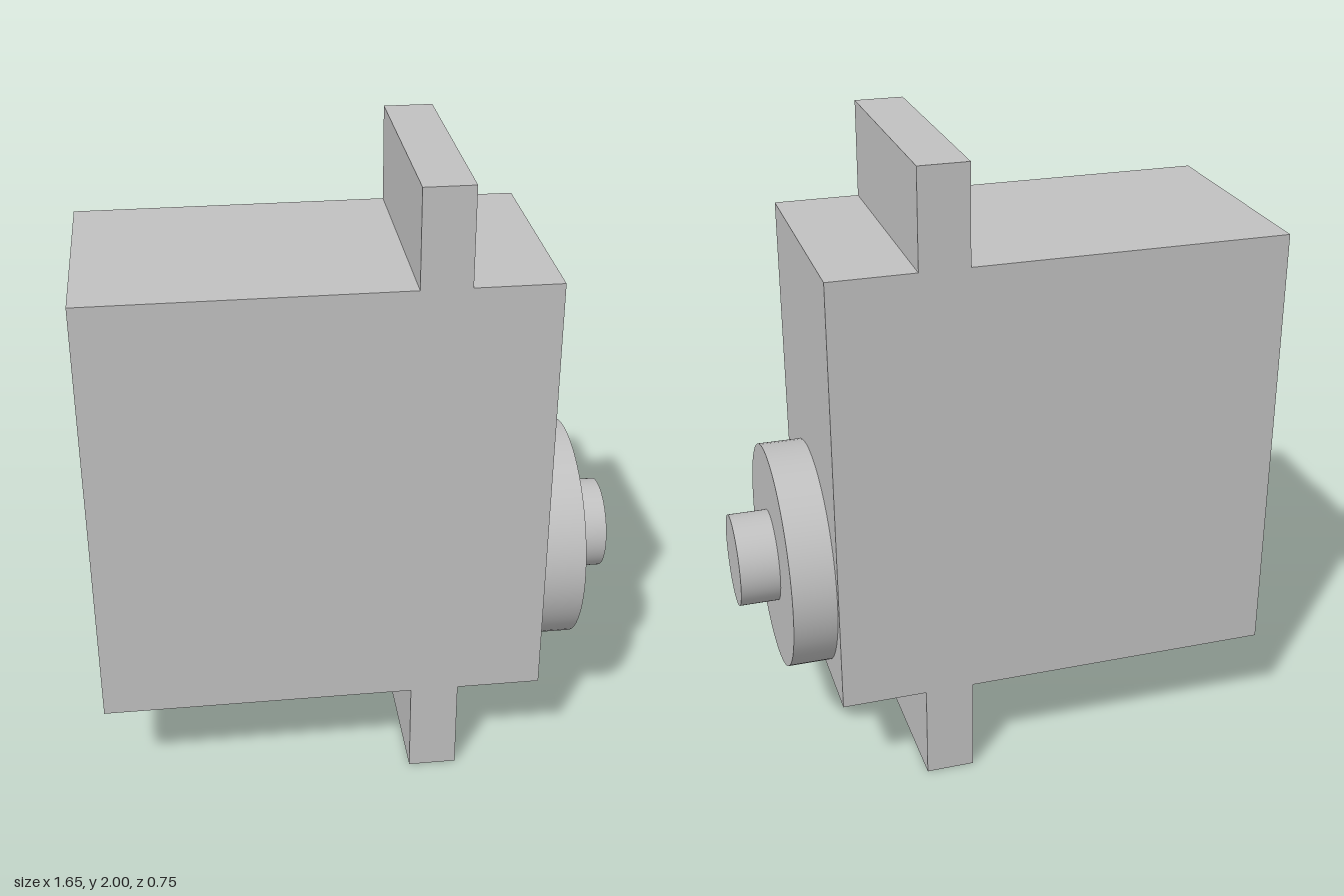
import * as THREE from 'three';

export function createModel() {
  const model = new THREE.Group();
  const grey = new THREE.MeshStandardMaterial({ color: 0xc0c0c0 });
  grey.name = 'light grey';

  const add = (name, geometry, x, y, z) => {
    const mesh = new THREE.Mesh(geometry, grey);
    mesh.name = name;
    mesh.position.set(x, y, z);
    model.add(mesh);
    return mesh;
  };

  // Housing with a mounting tab above and below, as one cross-shaped outline
  const left = -0.826, right = 0.568, bottom = 0.305, top = 1.698;
  const tabLeft = 0.151, tabRight = 0.303, depth = 0.746;
  const outline = new THREE.Shape([
    [left, bottom], [tabLeft, bottom], [tabLeft, 0], [tabRight, 0],
    [tabRight, bottom], [right, bottom], [right, top], [tabRight, top],
    [tabRight, 2], [tabLeft, 2], [tabLeft, top], [left, top],
  ].map(([x, y]) => new THREE.Vector2(x, y)));
  add('housing', new THREE.ExtrudeGeometry(outline, { depth, bevelEnabled: false }), 0, 0, -depth / 2);

  // Round boss and output shaft, both along x
  const axisY = 0.665;
  const addDisc = (name, radius, x0, x1) => {
    const disc = add(name, new THREE.CylinderGeometry(radius, radius, x1 - x0, 64), (x0 + x1) / 2, axisY, 0);
    disc.rotation.z = -Math.PI / 2;
  };
  addDisc('boss', 0.355, right, 0.703);
  addDisc('outputShaft', 0.145, 0.703, 0.826);

  return model;
}
